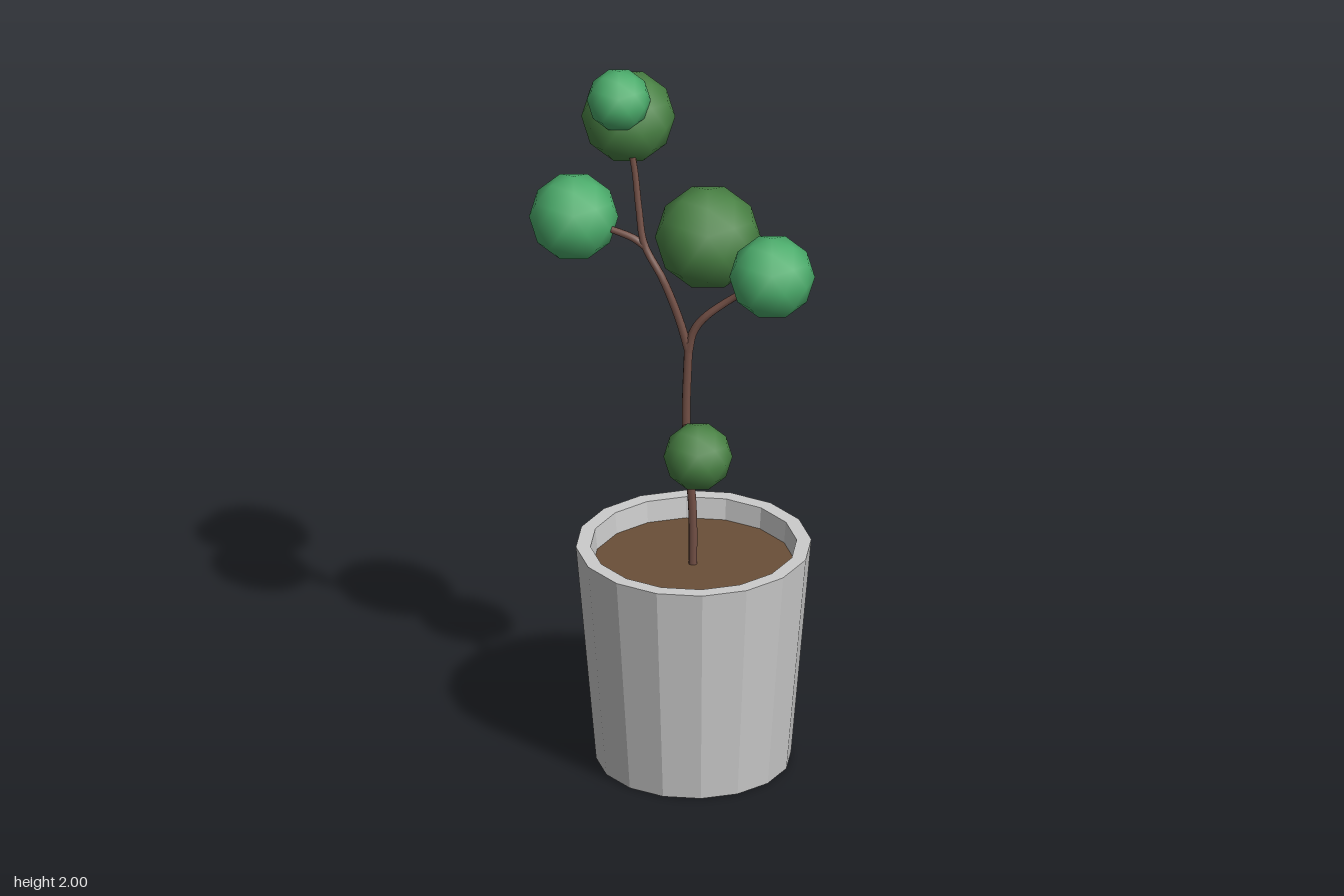
import * as THREE from 'three';

const potX = 0.045, sides = 16;
const mat = (color, flatShading = false) => new THREE.MeshStandardMaterial({ color, flatShading });

export function createModel() {
  const model = new THREE.Group();
  const add = (name, geometry, material, parent = model) => {
    const mesh = new THREE.Mesh(geometry, material);
    mesh.name = name;
    parent.add(mesh);
    return mesh;
  };

  // Faceted tapered pot with a thick rim and hollow top
  const profile = [[0, 0], [0.26, 0], [0.314, 0.63], [0.275, 0.63], [0.267, 0.54]];
  const pot = add('pot', new THREE.LatheGeometry(
    profile.map(([x, y]) => new THREE.Vector2(x, y)), sides), mat(0xcccccc, true));
  pot.position.x = potX;

  // Soil disc just below the rim
  const soil = add('soil', new THREE.CircleGeometry(0.27, sides).rotateX(-Math.PI / 2), mat(0x6a4f38));
  soil.position.set(potX, 0.57, 0);

  // Stem and branches: name, start radius, end radius, points along the path
  const bark = mat(0x735046);
  const branches = [
    ['trunk', 0.012, 0.012, [[0.043, 0.55, 0], [0.042, 0.73, 0], [0.025, 0.97, 0.002], [0.031, 1.23, 0]]],
    ['leftBranch', 0.012, 0.008, [[0.031, 1.2, 0], [0.008, 1.29, 0.006], [-0.035, 1.41, 0.016],
      [-0.09, 1.505, 0.01], [-0.108, 1.6, 0], [-0.127, 1.73, -0.012], [-0.165, 1.9, -0.005]]],
    ['rightBranch', 0.012, 0.007, [[0.031, 1.2, 0], [0.042, 1.255, -0.002], [0.07, 1.3, -0.007],
      [0.167, 1.38, -0.022], [0.235, 1.43, 0.025], [0.29, 1.49, 0.09]]],
    ['leftTwig', 0.011, 0.008, [[-0.085, 1.497, 0.01], [-0.12, 1.515, 0.006], [-0.19, 1.53, 0], [-0.28, 1.545, -0.01]]],
    ['crownTwig', 0.008, 0.007, [[-0.124, 1.71, -0.012], [-0.14, 1.78, -0.04], [-0.16, 1.83, -0.08]]],
    ['rightTwig', 0.01, 0.007, [[0.163, 1.377, -0.022], [0.168, 1.42, -0.036], [0.16, 1.46, -0.044], [0.1, 1.53, -0.02]]],
    ['lowTwig', 0.011, 0.007, [[0.026, 0.955, 0], [0.03, 0.982, 0.025], [0.065, 1.01, 0.085], [0.105, 0.985, 0.15]]],
  ];
  const wood = new THREE.Group();
  wood.name = 'stem';
  model.add(wood);
  for (const [name, r0, r1, pts] of branches) {
    add(name, taperedTube(pts, r0, r1), bark, wood);
  }

  // Round leaf clusters: name, colour, radius, centre
  const dark = mat(0x4a8245), light = mat(0x4cad6c);
  const leaves = [
    ['upperLeaves', dark, 0.125, [-0.166, 1.828, -0.085]],
    ['topLeaves', light, 0.085, [-0.166, 1.915, -0.005]],
    ['leftLeaves', light, 0.119, [-0.294, 1.545, -0.01]],
    ['centreLeaves', dark, 0.141, [0.082, 1.543, -0.01]],
    ['rightLeaves', light, 0.114, [0.296, 1.508, 0.094]],
    ['lowLeaves', dark, 0.092, [0.11, 0.975, 0.16]],
  ];
  const foliage = new THREE.Group();
  foliage.name = 'foliage';
  model.add(foliage);
  const tilt = -Math.atan(2 / (1 + Math.sqrt(5))); // stands a corner upright
  for (const [name, material, r, centre] of leaves) {
    const ball = add(name, new THREE.IcosahedronGeometry(r, 1).rotateZ(tilt), material, foliage);
    ball.position.set(...centre);
  }
  return model;
}

// Tube along a smooth path, narrowing from r0 to r1
function taperedTube(pts, r0, r1) {
  const curve = new THREE.CatmullRomCurve3(pts.map(p => new THREE.Vector3(...p)));
  const segments = pts.length * 4, radial = 8;
  const geo = new THREE.TubeGeometry(curve, segments, 1, radial);
  const pos = geo.attributes.position, v = new THREE.Vector3();
  for (let i = 0; i < pos.count; i++) {
    const t = Math.floor(i / (radial + 1)) / segments;
    const c = curve.getPointAt(t);
    v.fromBufferAttribute(pos, i).sub(c).multiplyScalar(r0 + (r1 - r0) * t).add(c);
    pos.setXYZ(i, v.x, v.y, v.z);
  }
  return geo;
}
